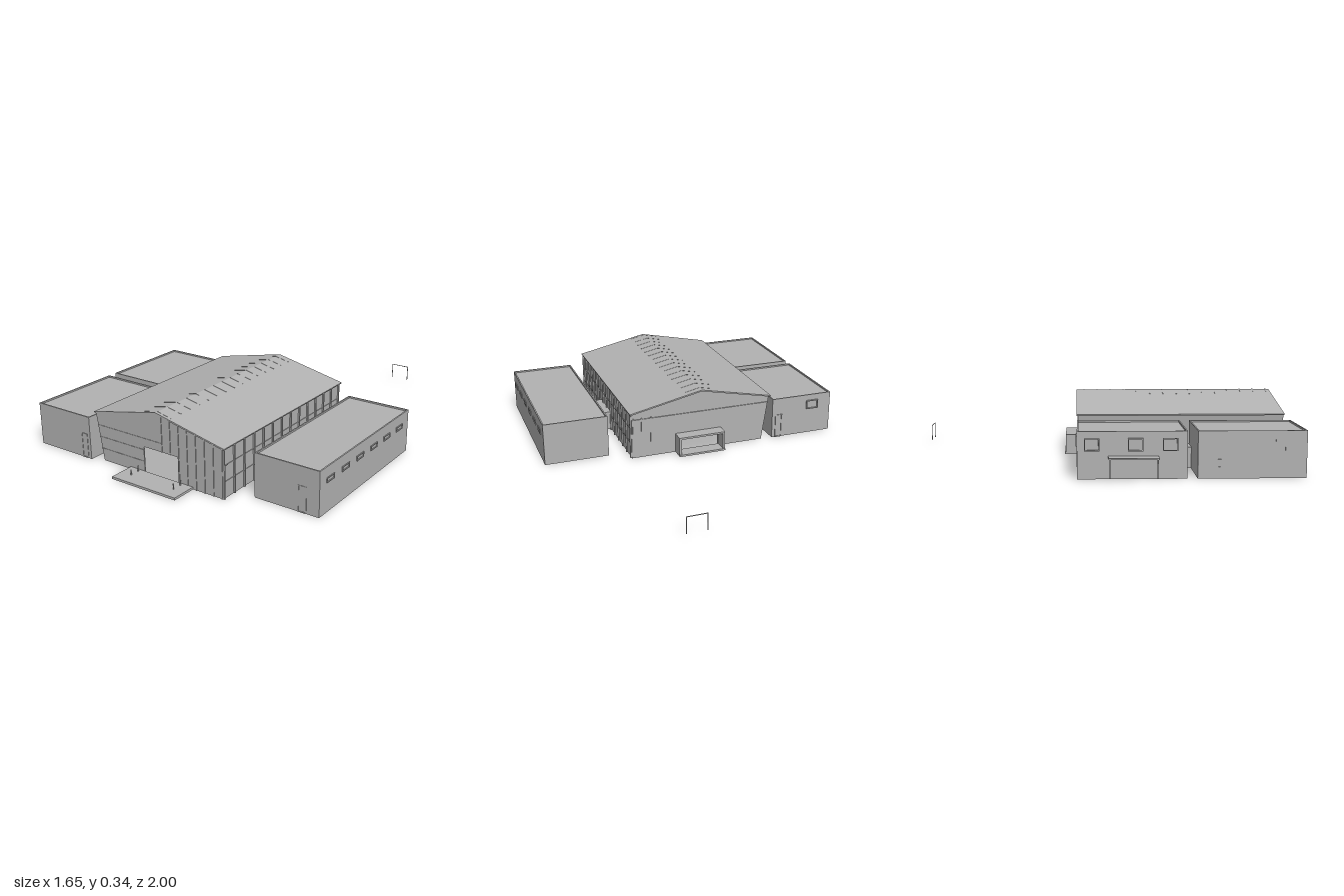
import * as THREE from 'three';

export function createModel() {
  const model = new THREE.Group();
  const grey = new THREE.MeshStandardMaterial({ color: 0xb2b2b2 });
  grey.name = 'wall grey';

  const add = (name, geo, parent = model) => {
    const m = new THREE.Mesh(geo, grey);
    m.name = name;
    parent.add(m);
    return m;
  };
  // Box given by its limits on each axis
  const box = (name, x0, x1, y0, y1, z0, z1, parent = model) => {
    const m = add(name, new THREE.BoxGeometry(x1 - x0, y1 - y0, z1 - z0), parent);
    m.position.set((x0 + x1) / 2, (y0 + y1) / 2, (z0 + z1) / 2);
    return m;
  };
  const group = (name) => {
    const g = new THREE.Group();
    g.name = name;
    model.add(g);
    return g;
  };
  // Outline in x and y, extruded from z0 to z1
  const extrude = (name, pts, z0, z1, parent) => {
    const shape = new THREE.Shape(pts.map(([x, y]) => new THREE.Vector2(x, y)));
    const geo = new THREE.ExtrudeGeometry(shape, { depth: z1 - z0, bevelEnabled: false });
    geo.translate(0, 0, z0);
    return add(name, geo, parent);
  };

  // Main hall: gabled end walls with a doorway each, one leaning side wall
  const hall = group('hall');
  const gable = (name, x0, x1, doorTop, z0, z1) => extrude(name, [
    [-0.355, 0], [x0, 0], [x0, doorTop], [x1, doorTop], [x1, 0],
    [0.378, 0], [0.378, 0.245], [-0.005, 0.326], [-0.393, 0.245],
  ], z0, z1, hall);
  gable('frontWall', -0.09, 0.12, 0.14, 0.862, 0.868);
  gable('backWall', -0.1, 0.13, 0.1, -0.157, -0.151);
  extrude('leaningWall', [[-0.355, 0], [-0.349, 0], [-0.387, 0.245], [-0.393, 0.245]], -0.151, 0.862, hall);
  box('straightWall', 0.372, 0.378, 0, 0.246, -0.151, 0.862, hall);
  const floor = add('hallUnderside', new THREE.PlaneGeometry(0.733, 1.025), hall);
  floor.rotation.x = Math.PI / 2;
  floor.position.set(0.0115, 0, 0.3555);
  extrude('roof', [
    [-0.402, 0.25], [-0.4, 0.243], [-0.005, 0.326], [0.386, 0.243], [0.388, 0.25], [-0.005, 0.334],
  ], -0.167, 0.872, hall);

  // Low ribs across the ridge
  for (let i = 0; i < 15; i++) {
    const z = -0.13 + i * 0.07;
    extrude('ridgeRib', [
      [-0.085, 0.316], [-0.005, 0.333], [0.075, 0.316], [0.075, 0.3178], [-0.005, 0.335], [-0.085, 0.318],
    ], z, z + 0.006, hall);
  }

  // Posts and rails on the straight side wall
  for (let i = 0; i <= 13; i++) {
    const z = -0.15 + i * 0.0777;
    box('sidePost', 0.377, 0.385, 0, 0.244, z, z + 0.008, hall);
  }
  for (const y of [0.08, 0.16]) box('sideRail', 0.377, 0.381, y, y + 0.005, -0.15, 0.865, hall);

  // Front mullions and weatherboards
  const roofY = (x) => 0.326 - Math.abs(x + 0.005) * 0.209;
  for (let i = 0; i < 8; i++) {
    const x = 0.02 + i * 0.05;
    box('frontMullion', x, x + 0.006, x < 0.12 ? 0.14 : 0, roofY(x + 0.006), 0.867, 0.871, hall);
  }
  for (const y of [0.06, 0.12, 0.18]) {
    box('frontBoard', -0.357 - y * 0.155, y < 0.14 ? -0.09 : 0.02, y, y + 0.005, 0.867, 0.87, hall);
  }
  // Ledge and upright battens on the back
  box('backLedge', -0.386, 0.378, 0.208, 0.214, -0.162, -0.156, hall);
  for (const x of [0.27, 0.32, 0.366]) box('backBatten', x, x + 0.006, 0.08, 0.22, -0.161, -0.156, hall);

  // Back portal: an open frame around the doorway
  const portal = group('backPortal');
  box('portalTop', -0.115, 0.14, 0.095, 0.105, -0.225, -0.157, portal);
  box('portalFloor', -0.115, 0.14, 0, 0.01, -0.23, -0.157, portal);
  box('portalSide', -0.115, -0.103, 0.01, 0.095, -0.225, -0.157, portal);
  box('portalSide', 0.128, 0.14, 0.01, 0.095, -0.225, -0.157, portal);

  // Front porch slab with four bollards
  const porch = group('porch');
  box('porchSlab', -0.18, 0.203, 0, 0.012, 0.868, 1, porch);
  for (const x of [-0.117, 0.143]) for (const z of [0.887, 0.935]) {
    const b = add('bollard', new THREE.CylinderGeometry(0.003, 0.003, 0.028, 8), porch);
    b.position.set(x, 0.026, z);
  }

  // Flat-roofed side blocks with a thin parapet
  const block = (name, x0, x1, z0, z1) => {
    const g = group(name);
    const h = 0.222, t = 0.007;
    box('body', x0, x1, 0, h - 0.008, z0, z1, g);
    for (const x of [x0, x1 - t]) box('parapet', x, x + t, h - 0.008, h, z0, z1, g);
    for (const z of [z0, z1 - t]) box('parapet', x0 + t, x1 - t, h - 0.008, h, z, z + t, g);
    return g;
  };
  const leftBlock = block('leftBlock', 0.482, 0.82, -0.08, 0.772);
  const rearBlock = block('rightRearBlock', -0.765, -0.417, -0.163, 0.345);
  const frontBlock = block('rightFrontBlock', -0.765, -0.417, 0.392, 0.896);

  // Window frames on walls facing along x or z
  const frame = (name, u0, u1, y0, y1, place) => {
    const t = 0.005;
    place(name, u0, u1, y0, y0 + t);
    place(name, u0, u1, y1 - t, y1);
    place(name, u0, u0 + t, y0 + t, y1 - t);
    place(name, u1 - t, u1, y0 + t, y1 - t);
  };
  const onX = (x, g) => (n, u0, u1, y0, y1) => box(n, x - 0.004, x + 0.004, y0, y1, u0, u1, g);
  const onZ = (z, g) => (n, u0, u1, y0, y1) => box(n, u0, u1, y0, y1, z - 0.004, z + 0.004, g);
  for (let i = 0; i < 6; i++) {
    const z = -0.015 + i * 0.133;
    frame('leftWindow', z, z + 0.065, 0.145, 0.17, onX(0.82, leftBlock));
  }
  for (const z of [-0.13, 0.07, 0.23]) frame('rearWindow', z, z + 0.07, 0.13, 0.19, onX(-0.768, rearBlock));
  for (const z of [0.44, 0.56]) frame('frontBlockWindow', z, z + 0.06, 0.05, 0.09, onX(-0.763, frontBlock));
  frame('frontBlockWindow', 0.75, 0.8, 0.12, 0.18, onX(-0.763, frontBlock));
  frame('backWindow', -0.69, -0.62, 0.14, 0.19, onZ(-0.166, rearBlock));
  frame('backDoor', -0.475, -0.435, 0, 0.13, onZ(-0.163, rearBlock));
  frame('frontDoor', -0.475, -0.435, 0, 0.13, onZ(0.894, frontBlock));
  frame('frontDoor', 0.71, 0.755, 0, 0.13, onZ(0.77, leftBlock));

  // Low links between the buildings
  const link = (x0, x1, z0, z1) => box('link', x0, x1, 0.002, 0.105, z0, z1);
  link(0.378, 0.482, 0.25, 0.45);
  link(-0.417, -0.36, 0.035, 0.15);
  link(-0.417, -0.36, 0.545, 0.667);
  link(-0.52, -0.417, 0.345, 0.392);

  // Canopy on two posts beside the rear block
  const canopy = group('canopy');
  box('canopyRoof', -0.826, -0.765, 0.1, 0.107, -0.02, 0.212, canopy);
  for (const z of [-0.015, 0.202]) box('canopyPost', -0.825, -0.82, 0.015, 0.1, z, z + 0.005, canopy);

  // Free-standing frame behind the hall
  const goal = group('yardFrame');
  for (const x of [0.282, 0.382]) box('framePost', x, x + 0.003, 0.015, 0.1, -1, -0.997, goal);
  box('frameBar', 0.282, 0.385, 0.097, 0.1, -1, -0.997, goal);

  return model;
}
